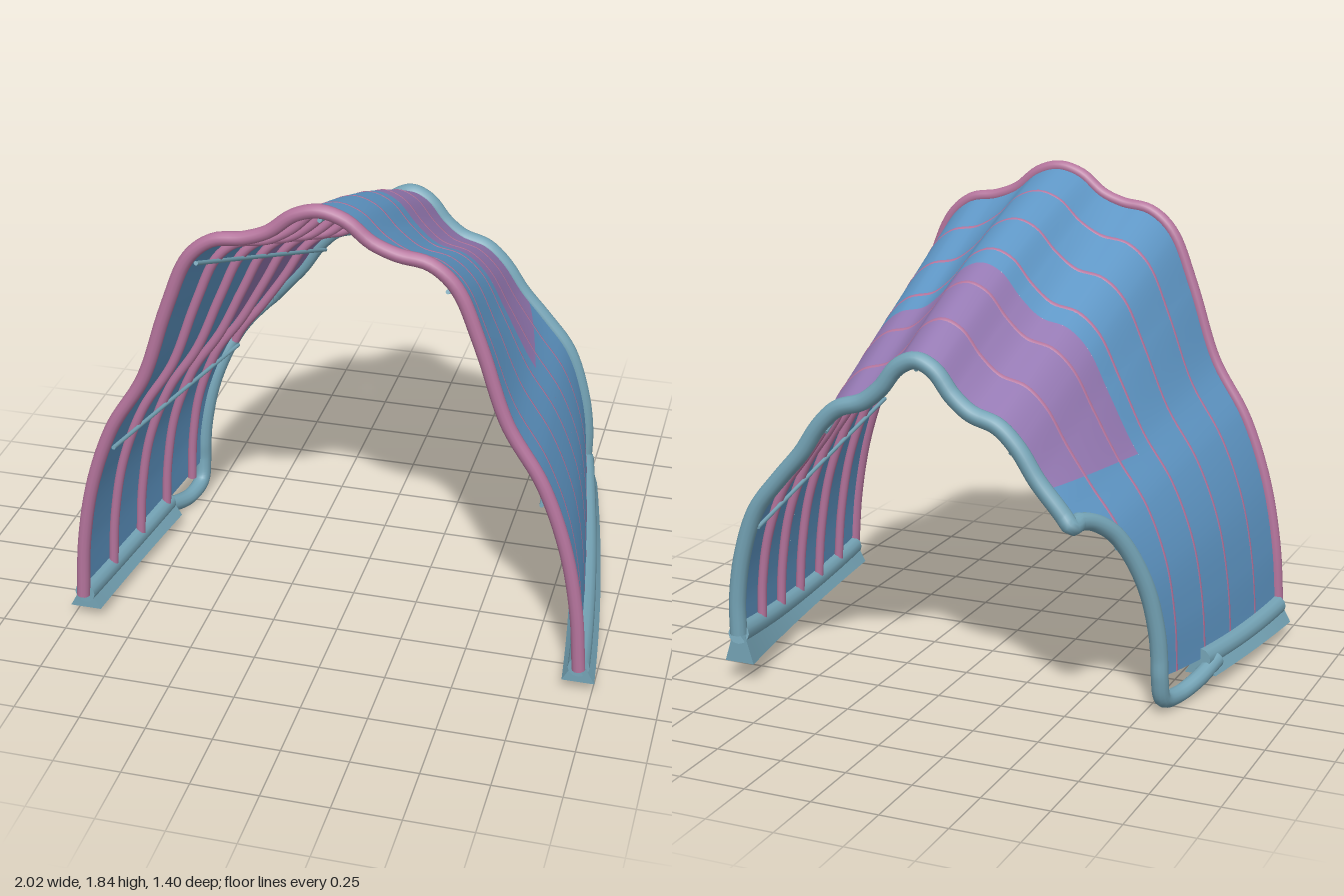
import * as THREE from 'three';
import { ParametricGeometry } from 'three/addons/geometries/ParametricGeometry.js';
import { toCreasedNormals } from 'three/addons/utils/BufferGeometryUtils.js';

const { lerp, clamp } = THREE.MathUtils;
const FRONT = 0.67, BACK = -0.67, N = 11;

// Half of the arch, ridge to foot: front x, y, back x, y, mid bulge x, y
const ARCH = [
  [0, 1.815, 0, 1.315, 0, 0.035],
  [0.09, 1.79, 0.07, 1.285, 0, 0.033],
  [0.18, 1.72, 0.14, 1.2, 0, 0.02],
  [0.27, 1.685, 0.21, 1.145, 0, 0],
  [0.38, 1.665, 0.31, 1.11, 0, 0],
  [0.47, 1.59, 0.385, 1.04, 0, 0],
  [0.56, 1.38, 0.46, 0.93, 0, 0],
  [0.66, 1.09, 0.555, 0.82, 0, 0],
  [0.79, 0.87, 0.655, 0.69, 0, 0],
  [0.88, 0.62, 0.72, 0.5, 0.01, 0],
  [0.93, 0.36, 0.745, 0.33, 0.015, -0.02],
  [0.95, 0.115, 0.745, 0.195, 0.02, -0.04],
];

// Arch section at depth z
function section(z) {
  const v = (FRONT - z) / (FRONT - BACK), b = 4 * v * (1 - v);
  const half = ARCH.map(([fx, fy, bx, by, mx, my]) =>
    new THREE.Vector3(lerp(fx, bx, v) + mx * b, lerp(fy, by, v) + my * b, z));
  const mirrored = half.slice(1).reverse().map(p => new THREE.Vector3(-p.x, p.y, z));
  return new THREE.CatmullRomCurve3([...mirrored, ...half]);
}

// Point on the shell: u runs -11 (right foot) to 11 (left foot); inset goes inwards
function shell(u, z, inset = 0) {
  const curve = section(z), t = clamp((u + N) / (2 * N), 0, 1);
  const p = curve.getPoint(t);
  if (inset) {
    const d = curve.getTangent(t);
    p.x += d.y * inset;
    p.y -= d.x * inset;
  }
  return p;
}

// Rear edge of the right wall, cut away in a rounded notch
const NOTCH = 7.3;
function rearEdge(u) {
  const w = clamp((u - NOTCH) / (N - NOTCH), 0, 1);
  return BACK + 0.32 * Math.sqrt(1 - (1 - w) ** 2);
}

// Lower edge of the roof panel, at a height of 0.9
function panelEdge(z) {
  let lo = 4, hi = 10;
  for (let i = 0; i < 20; i++) {
    const mid = (lo + hi) / 2;
    if (shell(mid, z).y > 0.9) lo = mid; else hi = mid;
  }
  return lo;
}

export function createModel() {
  const group = new THREE.Group();
  const mat = color => new THREE.MeshStandardMaterial({ color, side: THREE.DoubleSide });
  const blue = mat(0x5f97c6), purple = mat(0x9579b3), pink = mat(0xb4749c), teal = mat(0x74a3b5);

  const add = (name, geometry, material) => {
    const mesh = new THREE.Mesh(geometry, material);
    mesh.name = name;
    group.add(mesh);
    return mesh;
  };
  const sheet = (name, material, nu, nv, f) =>
    add(name, new ParametricGeometry((a, b, out) => out.copy(f(a, b)), nu, nv), material);

  // Tube through points, with flat end caps
  const tube = (name, points, radius, material, segments) => {
    const curve = new THREE.CatmullRomCurve3(points);
    add(name, new THREE.TubeGeometry(curve, segments, radius, 12), material);
    for (const t of [0, 1]) {
      const cap = add(name + 'Cap', new THREE.CircleGeometry(radius, 12), material);
      const p = curve.getPoint(t), d = curve.getTangent(t).multiplyScalar(t ? 1 : -1);
      cap.position.copy(p);
      cap.lookAt(p.clone().add(d));
    }
  };
  const range = (n, f) => Array.from({ length: n + 1 }, (_, i) => f(i / n));

  // Fabric shell: front part, roof panel and the two rear walls
  const SPLIT = -0.1;
  sheet('frontShell', blue, 132, 14, (a, b) => shell(lerp(-N, N, a), lerp(FRONT, SPLIT, b)));
  sheet('roofPanel', purple, 90, 12, (a, b) => {
    const z = lerp(SPLIT, BACK, b), e = panelEdge(z);
    return shell(lerp(-e, e, a), z);
  });
  sheet('leftRearWall', blue, 30, 12, (a, b) => {
    const z = lerp(SPLIT, BACK, b);
    return shell(lerp(panelEdge(z), N, a), z);
  });
  sheet('rightRearWall', blue, 48, 16, (a, b) => {
    const u = lerp(panelEdge(lerp(SPLIT, BACK, b)), N, a);
    return shell(-u, lerp(SPLIT, rearEdge(u), b));
  });

  // Front hoop and inner ribs
  tube('frontHoop', range(88, t => shell(lerp(-N, N, t), FRONT)), 0.025, pink, 180);
  for (const z of [0.45, 0.22, 0, -0.22, -0.44]) {
    let start = -N;
    while (rearEdge(-start) > z - 0.02) start += 0.1;
    tube('rib', range(88, t => shell(lerp(start, N, t), z, 0.0165)), 0.018, pink, 160);
  }

  // Rear edge tube: left foot, over the ridge, round the notch, looping under to the rail
  tube('rearEdgeTube', [
    ...range(64, t => shell(lerp(N, -NOTCH, t), BACK)),
    ...range(16, t => {
      const u = lerp(NOTCH, N, Math.max(t * t, 0.01));
      return shell(-u, rearEdge(u));
    }),
    new THREE.Vector3(-0.81, 0.06, -0.32),
    new THREE.Vector3(-0.83, 0.036, -0.22),
    new THREE.Vector3(-0.87, 0.06, -0.1),
    new THREE.Vector3(-0.9, 0.1, 0.03),
  ], 0.032, teal, 260);

  // Thin lines running front to back under the ribs
  for (const u of [0, 5, -5, 8.3, -8.3]) {
    const end = u < -NOTCH ? rearEdge(-u) : BACK;
    tube('stringer', range(12, t => shell(u, lerp(FRONT, end, t), 0.034)), 0.008, teal, 40);
  }

  // Base rails, each a tube on a wedge-shaped foot
  for (const [side, end] of [[1, BACK], [-1, -0.04]]) {
    const foot = t => shell(side * N, lerp(0.66, end, t));
    tube(side > 0 ? 'leftRail' : 'rightRail', range(16, foot), 0.04, teal, 40);
    const wedge = [[-0.06, 0], [0.06, 0], [0.025, 1], [-0.025, 1], [-0.06, 0]];
    const geometry = new ParametricGeometry((a, b, out) => {
      const k = Math.round(b * 18);
      const p = foot(clamp((k - 1) / 16, 0, 1));
      const v = (FRONT - p.z) / (FRONT - BACK);
      const bottom = 0.05 + 0.03 * v * v;
      const [dx, h] = k % 18 ? wedge[Math.round(a * 4)] : [0, 0.5];
      out.set(p.x + dx, lerp(bottom, p.y, h), p.z);
    }, 4, 18);
    add(side > 0 ? 'leftRailFoot' : 'rightRailFoot', toCreasedNormals(geometry, 0.5), teal);
  }
  return group;
}
